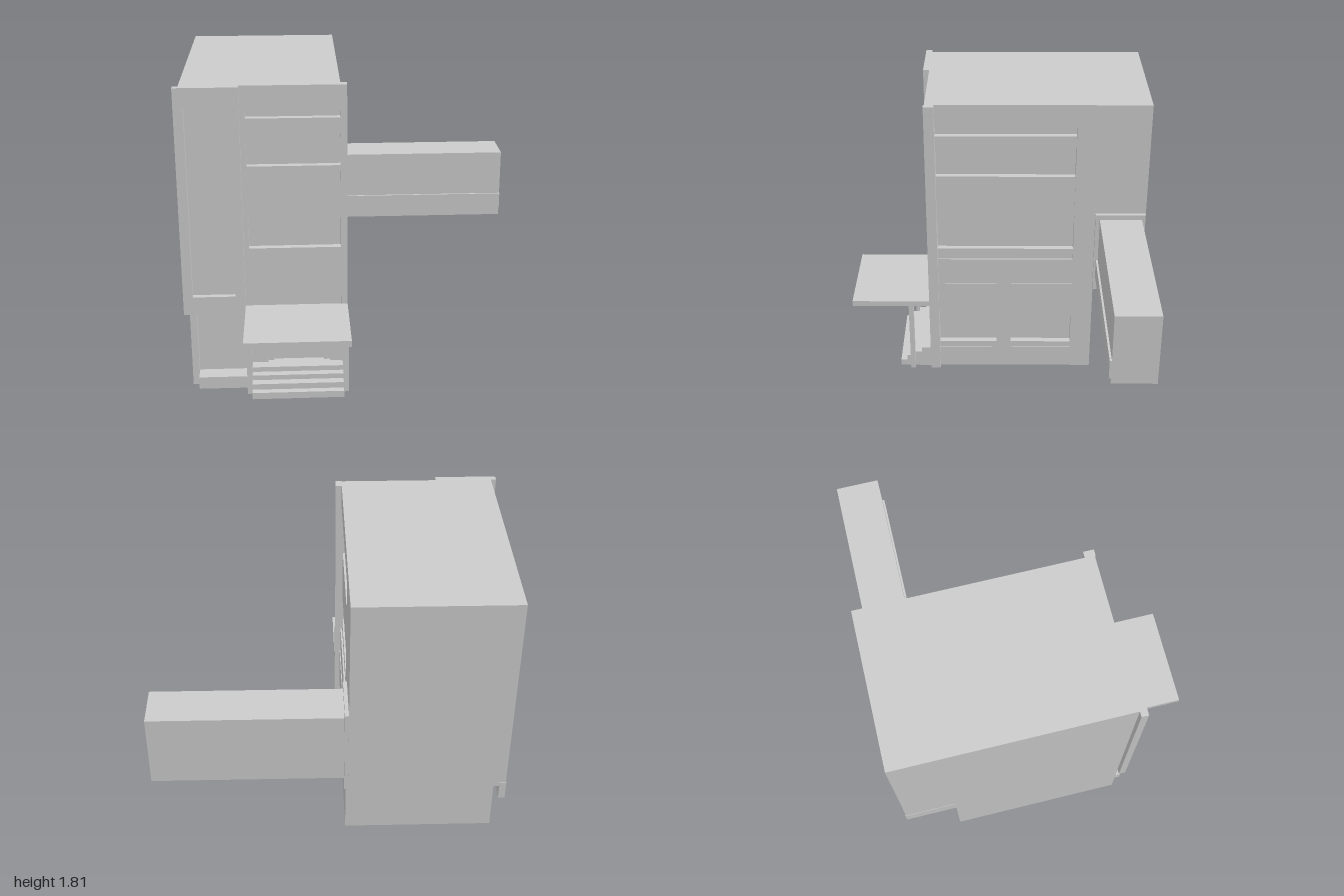
import * as THREE from 'three';

const mat = new THREE.MeshStandardMaterial({ color: 0xcccccc, flatShading: true });

export function createModel() {
  const model = new THREE.Group();

  // Box given by its limits on each axis
  const box = (name, x0, x1, y0, y1, z0, z1) => {
    const m = new THREE.Mesh(new THREE.BoxGeometry(x1 - x0, y1 - y0, z1 - z0), mat);
    m.position.set((x0 + x1) / 2, (y0 + y1) / 2, (z0 + z1) / 2);
    m.name = name;
    model.add(m);
    return m;
  };

  // Flat wall with rectangular openings [u0, u1, v0, v1], extruded towards +z
  const wall = (name, outline, holes, depth) => {
    const shape = new THREE.Shape(outline.map(p => new THREE.Vector2(...p)));
    for (const [a, b, c, d] of holes) {
      shape.holes.push(new THREE.Path([[a, c], [a, d], [b, d], [b, c]].map(p => new THREE.Vector2(...p))));
    }
    const m = new THREE.Mesh(new THREE.ExtrudeGeometry(shape, { depth, bevelEnabled: false }), mat);
    m.name = name;
    model.add(m);
    return m;
  };
  const rect = (a, b, c, d) => [[a, c], [b, c], [b, d], [a, d]];

  // Building core: its faces are the glass behind the openings
  box('upperCore', -0.97, -0.135, 0.59, 1.81, -0.9, 0.375);
  box('lowerCore', -0.97, -0.135, 0, 0.59, -0.6, 0.375);

  // Front wall with window strips, doorway and shop window
  wall('frontWall', rect(-0.97, -0.085, 0, 1.81), [
    [-0.615, -0.092, 1.625, 1.66],
    [-0.615, -0.092, 1.35, 1.535],
    [-0.615, -0.092, 0.86, 1.04],
    [-0.525, -0.16, 0.135, 0.41],
    [-0.93, -0.645, 0.075, 0.468],
  ], 0.045).position.z = 0.37;

  // Door frame inside the doorway
  wall('doorFrame', [[-0.525, 0.135], [-0.49, 0.135], [-0.49, 0.385], [-0.195, 0.385],
    [-0.195, 0.135], [-0.16, 0.135], [-0.16, 0.41], [-0.525, 0.41]], [], 0.025).position.z = 0.37;

  // Side wall; its u axis runs towards the back
  const side = wall('sideWall',
    [[-0.372, 0], [0.6, 0], [0.6, 0.59], [0.9, 0.59], [0.9, 1.81], [-0.372, 1.81]], [
      [-0.36, 0.47, 0.79, 1.675],
      [-0.36, 0, 0.14, 0.62],
      [0.09, 0.47, 0.14, 0.62],
    ], 0.05);
  side.rotation.y = Math.PI / 2;
  side.position.x = -0.14;

  // Spandrel bands between the side window strips
  for (const [y0, y1] of [[0.79, 0.86], [1.04, 1.35], [1.54, 1.61], [1.665, 1.675]]) {
    box('sideBand', -0.14, -0.1, y0, y1, -0.47, 0.36);
  }
  // Ground-floor side bays: upper panel and low sill
  for (const [z0, z1] of [[-0.47, -0.09], [0, 0.36]]) {
    box('bayPanel', -0.14, -0.085, 0.38, 0.62, z0, z1);
    box('baySill', -0.14, -0.095, 0.14, 0.18, z0, z1);
  }

  // Corner pier
  box('cornerPier', -0.092, -0.055, 0, 1.81, 0.36, 0.42);

  // Projecting framed bay on the front
  wall('frontBayFrame', rect(-1, -0.645, 0.47, 1.81), [[-0.945, -0.7, 0.58, 1.7]], 0.04).position.z = 0.413;
  box('frontBayPanel', -0.945, -0.7, 0.58, 1.7, 0.405, 0.42);
  box('shopWindowBase', -0.93, -0.645, 0, 0.075, 0.37, 0.475);

  // Entrance canopy, posts and steps
  box('canopy', -0.645, -0.055, 0.47, 0.505, 0.41, 0.9);
  for (const x of [-0.645, -0.085]) box('canopyPost', x, x + 0.03, 0, 0.47, 0.52, 0.55);
  [[0.04, 0.615], [0.075, 0.575], [0.105, 0.525], [0.135, 0.48]].forEach(([y, z], i, a) => {
    box('step', -0.615, -0.085, i ? a[i - 1][0] : 0, y, 0.41, z);
  });

  // Skirt under the rear overhang
  box('overhangSkirt', -0.972, -0.935, 0.505, 0.62, -0.904, -0.6);

  // Side bridge with collar and raised lower band
  box('bridgeCollar', -0.1, -0.068, 0.59, 1.11, -0.896, -0.597);
  box('bridge', -0.08, 1, 0.65, 1.08, -0.876, -0.622);
  box('bridgeBand', -0.08, 1, 0.685, 0.8, -0.63, -0.61);

  return model;
}
